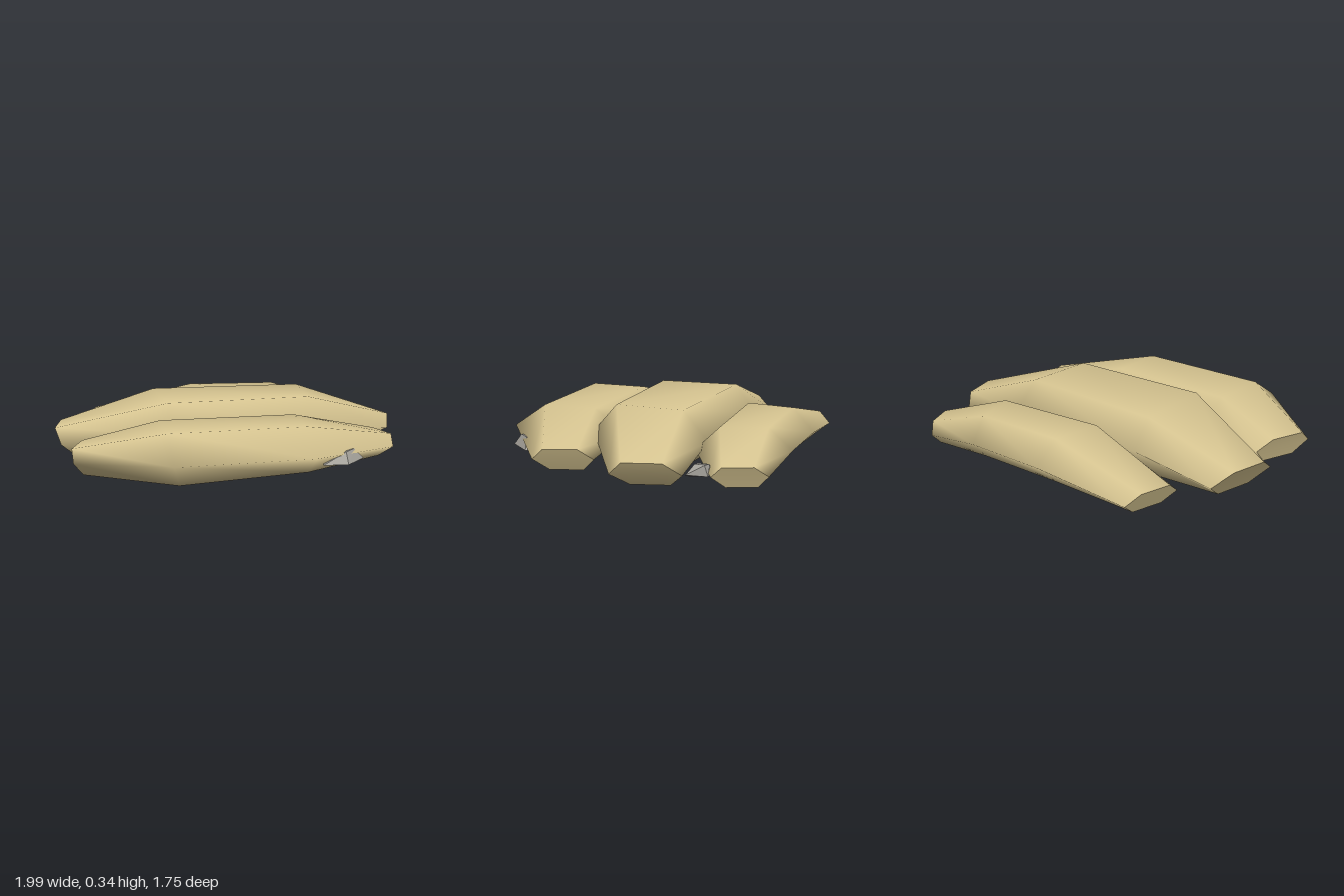
import * as THREE from 'three';
import { mergeGeometries } from 'three/addons/utils/BufferGeometryUtils.js';
import { ConvexGeometry } from 'three/addons/geometries/ConvexGeometry.js';

// Each section runs from -x to +x: front tip [x, z], back tip [x, z],
// heights [bottom, tip, top], inset of the top and bottom corners,
// and how far top and bottom lean in x.
const sacks = {
  frontSack: [
    { f: [-0.89, 0.545], b: [-0.79, 0.2], y: [0.02, 0.1, 0.165], inset: 0.22, lean: [-0.03, 0.03] },
    { f: [-0.385, 0.875], b: [-0.42, 0.15], y: [0, 0.15, 0.28], inset: 0.27, lean: [-0.01, 0.05] },
    { f: [0.365, 0.79], b: [0.33, 0.1], y: [0.03, 0.15, 0.28], inset: 0.27, lean: [-0.01, 0] },
    { f: [0.88, 0.375], b: [0.76, 0.07], y: [0.035, 0.1, 0.16], inset: 0.22, lean: [0.03, -0.04] },
  ],
  middleSack: [
    { f: [-0.96, 0.1], b: [-0.9, -0.33], y: [0.02, 0.1, 0.175], inset: 0.25, lean: [-0.05, 0.05] },
    { f: [-0.34, 0.3], b: [-0.42, -0.39], y: [0.01, 0.18, 0.34], inset: 0.17, lean: [-0.01, 0.02] },
    { f: [0.45, 0.235], b: [0.45, -0.45], y: [0.03, 0.18, 0.34], inset: 0.21, lean: [0, -0.01] },
    { f: [0.98, -0.13], b: [0.86, -0.48], y: [0.03, 0.095, 0.165], inset: 0.22, lean: [0.045, -0.06] },
  ],
  backSack: [
    { f: [-0.77, -0.44], b: [-0.71, -0.77], y: [0.03, 0.09, 0.15], inset: 0.23, lean: [-0.03, 0.03] },
    { f: [-0.2, -0.31], b: [-0.145, -0.845], y: [0.03, 0.15, 0.28], inset: 0.24, lean: [0, 0] },
    { f: [0.51, -0.4], b: [0.33, -0.88], y: [0.03, 0.15, 0.27], inset: 0.25, lean: [0, 0] },
    { f: [0.83, -0.62], b: [0.7, -0.88], y: [0.035, 0.095, 0.15], inset: 0.22, lean: [0.03, -0.03] },
  ],
};

// Six corners of one section: front tip, top pair, back tip, bottom pair
function ring({ f, b, y, inset, lean }) {
  const at = (t, height, dx) => [f[0] + (b[0] - f[0]) * t + dx, height, f[1] + (b[1] - f[1]) * t];
  return [
    at(0, y[1], 0), at(inset, y[2], lean[0]), at(1 - inset, y[2], lean[0]),
    at(1, y[1], 0), at(1 - inset, y[0], lean[1]), at(inset, y[0], lean[1]),
  ];
}

function mesh(points, index) {
  const g = new THREE.BufferGeometry();
  g.setAttribute('position', new THREE.Float32BufferAttribute(points.flat(), 3));
  g.setIndex(index);
  g.computeVertexNormals();
  return g;
}

// Smooth six-sided skin with crisp closed ends
function sackGeometry(sections) {
  const rings = sections.map(ring);
  const index = [];
  for (let i = 0; i < rings.length - 1; i++) {
    for (let j = 0; j < 6; j++) {
      const a = i * 6 + j, b = i * 6 + (j + 1) % 6;
      index.push(a, a + 6, b, b, a + 6, b + 6);
    }
  }
  const start = [], end = [];
  for (let j = 1; j < 5; j++) {
    start.push(0, j, j + 1);
    end.push(0, j + 1, j);
  }
  return mergeGeometries([
    mesh(rings.flat(), index), mesh(rings[0], start), mesh(rings[rings.length - 1], end),
  ]);
}

// Small faceted stones wedged against the sacks
const stones = {
  frontStone: [
    [0.42, 0.085, 0.68], [0.555, 0.085, 0.685], [0.67, 0.085, 0.545], [0.6, 0.085, 0.48], [0.45, 0.085, 0.55],
    [0.61, 0.145, 0.57], [0.55, 0.145, 0.64], [0.49, 0.12, 0.65], [0.56, 0.145, 0.53],
  ],
  backStone: [
    [0.67, 0.085, -0.485], [0.755, 0.085, -0.46], [0.82, 0.085, -0.48], [0.855, 0.1, -0.495], [0.79, 0.085, -0.59],
    [0.69, 0.085, -0.57], [0.76, 0.145, -0.585], [0.8, 0.145, -0.575], [0.775, 0.14, -0.51], [0.71, 0.13, -0.5],
  ],
};

export function createModel() {
  const group = new THREE.Group();
  group.name = 'sackPile';

  const cloth = new THREE.MeshStandardMaterial({ color: 0xd8c692 });
  cloth.name = 'sandCloth';
  const stone = new THREE.MeshStandardMaterial({ color: 0xa6a39c });
  stone.name = 'greyStone';

  const add = (name, geometry, material) => {
    const part = new THREE.Mesh(geometry, material);
    part.name = name;
    group.add(part);
  };
  for (const [name, sections] of Object.entries(sacks)) add(name, sackGeometry(sections), cloth);
  for (const [name, points] of Object.entries(stones)) {
    add(name, new ConvexGeometry(points.map((p) => new THREE.Vector3(...p))), stone);
  }
  return group;
}
